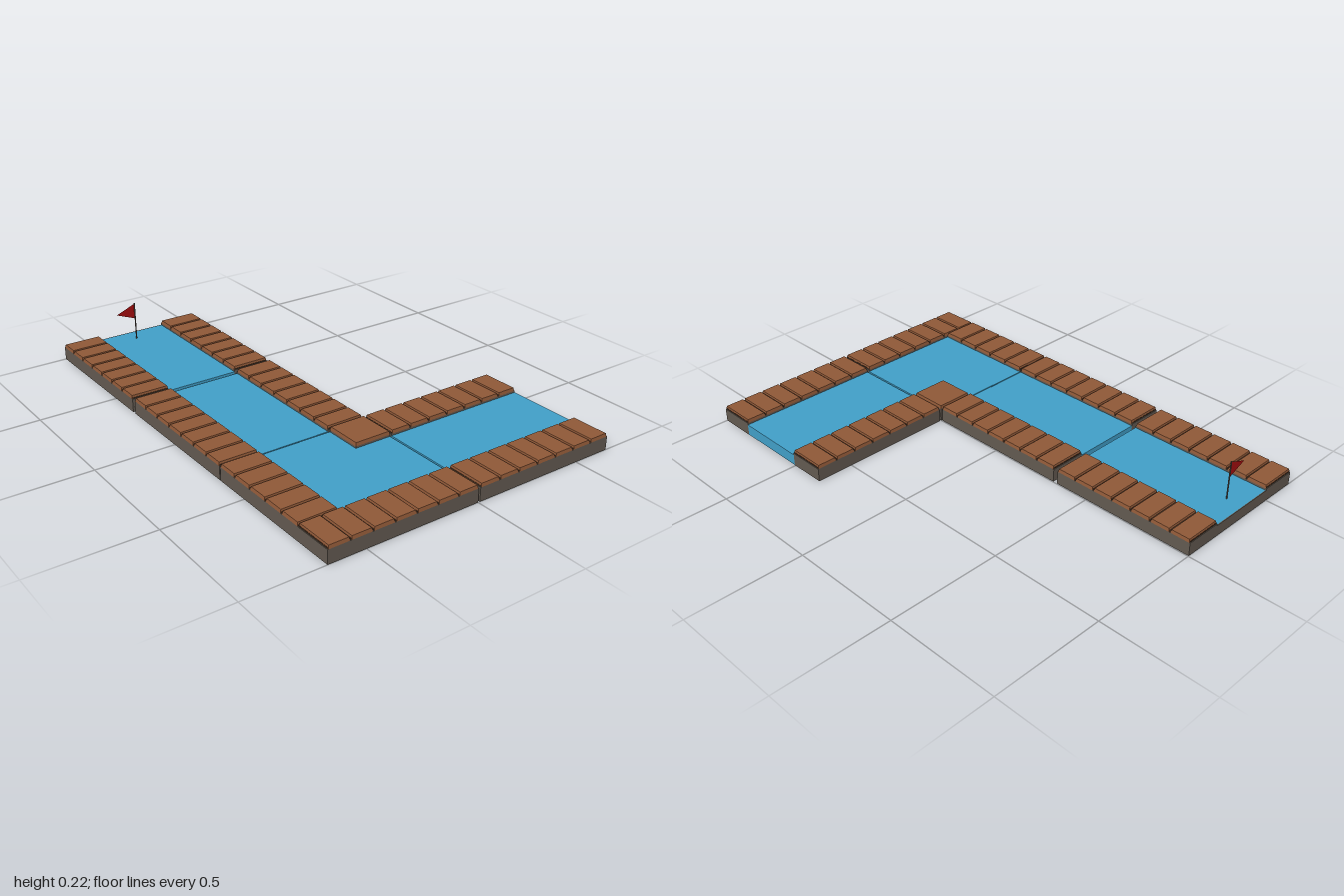
import * as THREE from 'three';

const mat = (name, color, side = THREE.FrontSide) => {
  const m = new THREE.MeshStandardMaterial({ color, side });
  m.name = name;
  return m;
};

export function createModel() {
  const stone = mat('stone grey', 0x635a51);
  const brown = mat('plank brown', 0x8f5837);
  const groove = mat('groove dark brown', 0x47301f);
  const blue = mat('water blue', 0x419fc8);
  const red = mat('flag red', 0xa80f10, THREE.DoubleSide);
  const poleMat = mat('pole grey', 0x5a4f48);

  const BASE = 0.058, TOP = 0.072, WATER = 0.05;
  const model = new THREE.Group();
  model.name = 'canalTrack';

  const box = (parent, name, material, [x0, x1], [y0, y1], [z0, z1]) => {
    const mesh = new THREE.Mesh(new THREE.BoxGeometry(x1 - x0, y1 - y0, z1 - z0), material);
    mesh.position.set((x0 + x1) / 2, (y0 + y1) / 2, (z0 + z1) / 2);
    mesh.name = name;
    parent.add(mesh);
    return mesh;
  };

  // Plank with its upper edge drawn in slightly
  const plank = (parent, xs, zs) => {
    const mesh = box(parent, 'plank', brown, xs, [BASE, TOP], zs);
    const p = mesh.geometry.attributes.position;
    for (let i = 0; i < p.count; i++) {
      if (p.getY(i) < 0) continue;
      p.setX(i, p.getX(i) - Math.sign(p.getX(i)) * 0.003);
      p.setZ(i, p.getZ(i) - Math.sign(p.getZ(i)) * 0.003);
    }
    mesh.geometry.computeVertexNormals();
  };

  // Stone bank topped by a row of planks along x or z
  const bank = (parent, xs, zs, count, axis) => {
    const g = new THREE.Group();
    g.name = 'bank';
    parent.add(g);
    box(g, 'bankBase', stone, xs, [0, BASE], zs);
    const inset = 0.003;
    box(g, 'plankGrooves', groove, [xs[0] + inset, xs[1] - inset], [BASE - 0.002, BASE + 0.005],
      [zs[0] + inset, zs[1] - inset]);
    const [a, b] = axis === 'x' ? xs : zs;
    const step = (b - a) / count, gap = count > 1 ? 0.003 : 0;
    for (let i = 0; i < count; i++) {
      const span = [a + i * step + gap, a + (i + 1) * step - gap];
      if (axis === 'x') plank(g, span, zs);
      else plank(g, xs, span);
    }
  };

  const tile = (name) => {
    const g = new THREE.Group();
    g.name = name;
    model.add(g);
    return g;
  };
  const water = (g, xs, zs) => box(g, 'water', blue, xs, [0.001, WATER], zs);

  // Two straight tiles along the front
  const spans = [[-1, -0.345], [-0.325, 0.335]];
  const straight = spans.map((xs, i) => {
    const g = tile(i ? 'straightTile' : 'startTile');
    bank(g, xs, [0.003, 0.17], 7, 'x');
    bank(g, xs, [0.493, 0.66], 7, 'x');
    water(g, i ? xs : [-0.996, xs[1]], [0.17, 0.493]);
    return g;
  });
  box(straight[0], 'endWall', stone, [-1, -0.996], [0, WATER], [0.17, 0.493]);

  // Corner tile
  const corner = tile('cornerTile');
  bank(corner, [0.833, 1], [0, 0.66], 7, 'z');
  bank(corner, [0.34, 0.833], [0.493, 0.66], 5, 'x');
  bank(corner, [0.34, 0.505], [0, 0.165], 1, 'x');
  water(corner, [0.34, 0.833], [0.165, 0.493]);
  water(corner, [0.505, 0.833], [0, 0.165]);

  // Tile running to the back
  const back = tile('backTile');
  bank(back, [0.34, 0.505], [-0.665, -0.008], 7, 'z');
  bank(back, [0.833, 1], [-0.665, -0.008], 7, 'z');
  water(back, [0.505, 0.833], [-0.665, -0.008]);

  // Start flag
  const flag = new THREE.Group();
  flag.name = 'flag';
  flag.position.set(-0.922, 0, 0.34);
  const pole = new THREE.Mesh(new THREE.CylinderGeometry(0.003, 0.003, 0.172, 8), poleMat);
  pole.name = 'flagPole';
  pole.position.y = WATER + 0.086;
  const pennantShape = new THREE.Shape([[0, 0.22], [0, 0.148], [-0.09, 0.184]]
    .map(([x, y]) => new THREE.Vector2(x, y)));
  const pennant = new THREE.Mesh(new THREE.ShapeGeometry(pennantShape), red);
  pennant.name = 'pennant';
  pennant.rotation.y = Math.PI / 2;
  flag.add(pole, pennant);
  model.add(flag);

  return model;
}
